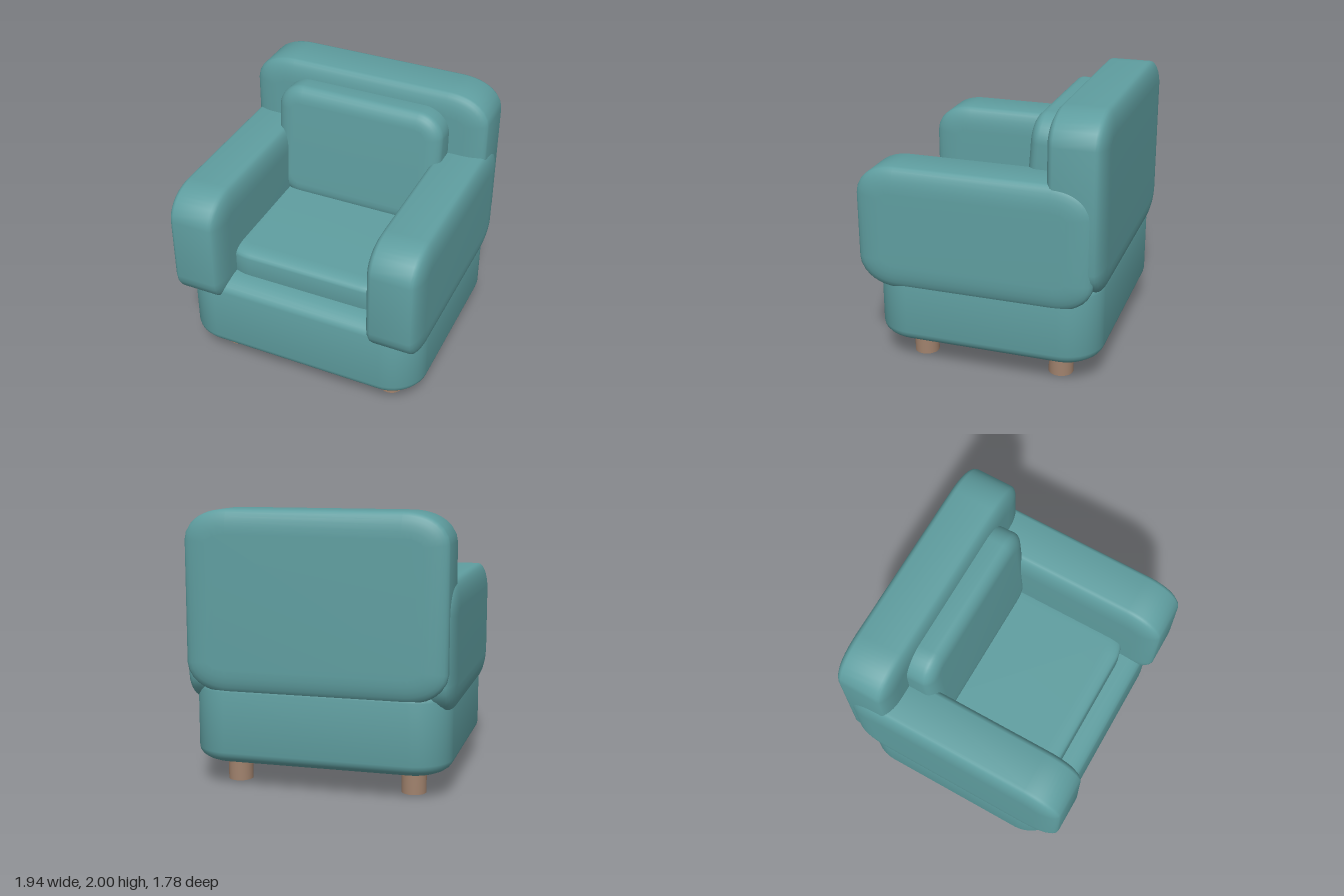
import * as THREE from 'three';
import { toCreasedNormals } from 'three/addons/utils/BufferGeometryUtils.js';

const fabric = new THREE.MeshStandardMaterial({ color: 0x5f9ea0 });
const wood = new THREE.MeshStandardMaterial({ color: 0xa0826d });

// Rectangle with elliptical corners, centred on the origin
function roundedRect(w, h, rx, ry) {
  const x = w / 2 - rx, y = h / 2 - ry, q = Math.PI / 2;
  const s = new THREE.Shape();
  s.absellipse(x, y, rx, ry, 0, q, false, 0);
  s.absellipse(-x, y, rx, ry, q, 2 * q, false, 0);
  s.absellipse(-x, -y, rx, ry, 2 * q, 3 * q, false, 0);
  s.absellipse(x, -y, rx, ry, 3 * q, 4 * q, false, 0);
  s.closePath();
  return s;
}

// Padded slab: outline w x h, thickness t along z, corner radii rx and ry,
// rim rolled over by `roll` in the outline and `depth` in the thickness
function slab(w, h, t, rx, ry, roll, depth) {
  const shape = roundedRect(w - 2 * roll, h - 2 * roll, rx - roll, ry - roll);
  const g = new THREE.ExtrudeGeometry(shape, {
    depth: t - 2 * depth, bevelEnabled: true, bevelSize: roll,
    bevelThickness: depth, bevelSegments: 6, curveSegments: 5,
  });
  g.translate(0, 0, -(t - 2 * depth) / 2);
  return g;
}

export function createModel() {
  const group = new THREE.Group();

  function add(name, geometry, material, x, y, z) {
    const mesh = new THREE.Mesh(geometry, material);
    mesh.name = name;
    mesh.position.set(x, y, z);
    group.add(mesh);
    return mesh;
  }
  const smooth = (g) => toCreasedNormals(g, 0.9);

  // Base and seat cushion lie flat
  const base = slab(1.88, 1.67, 0.64, 0.28, 0.28, 0.18, 0.1).rotateX(Math.PI / 2);
  add('base', smooth(base), fabric, 0, 0.49, -0.025);
  const seat = slab(1.32, 1.2, 0.26, 0.22, 0.16, 0.12, 0.055).rotateX(Math.PI / 2);
  add('seatCushion', smooth(seat), fabric, 0, 0.88, 0.05);

  // Backrest and the leaning cushion in front of it
  add('backrest', smooth(slab(1.88, 1.3, 0.415, 0.32, 0.23, 0.17, 0.065)), fabric, 0, 1.35, -0.6825);
  const cushion = slab(1.32, 0.94, 0.3, 0.2, 0.19, 0.12, 0.08);
  add('backCushion', smooth(cushion), fabric, 0, 1.415, -0.41).rotation.x = -0.07;

  // Arms stand on edge
  const arm = smooth(slab(1.72, 0.915, 0.41, 0.29, 0.23, 0.18, 0.065).rotateY(Math.PI / 2));
  // Legs
  const leg = new THREE.CylinderGeometry(0.09, 0.09, 0.25, 32);
  for (const [side, s] of [['left', 1], ['right', -1]]) {
    add(side + 'Arm', arm, fabric, s * 0.765, 1.0675, 0.03);
    add(side + 'FrontLeg', leg, wood, s * 0.655, 0.125, 0.5);
    add(side + 'BackLeg', leg, wood, s * 0.655, 0.125, -0.545);
  }
  return group;
}
